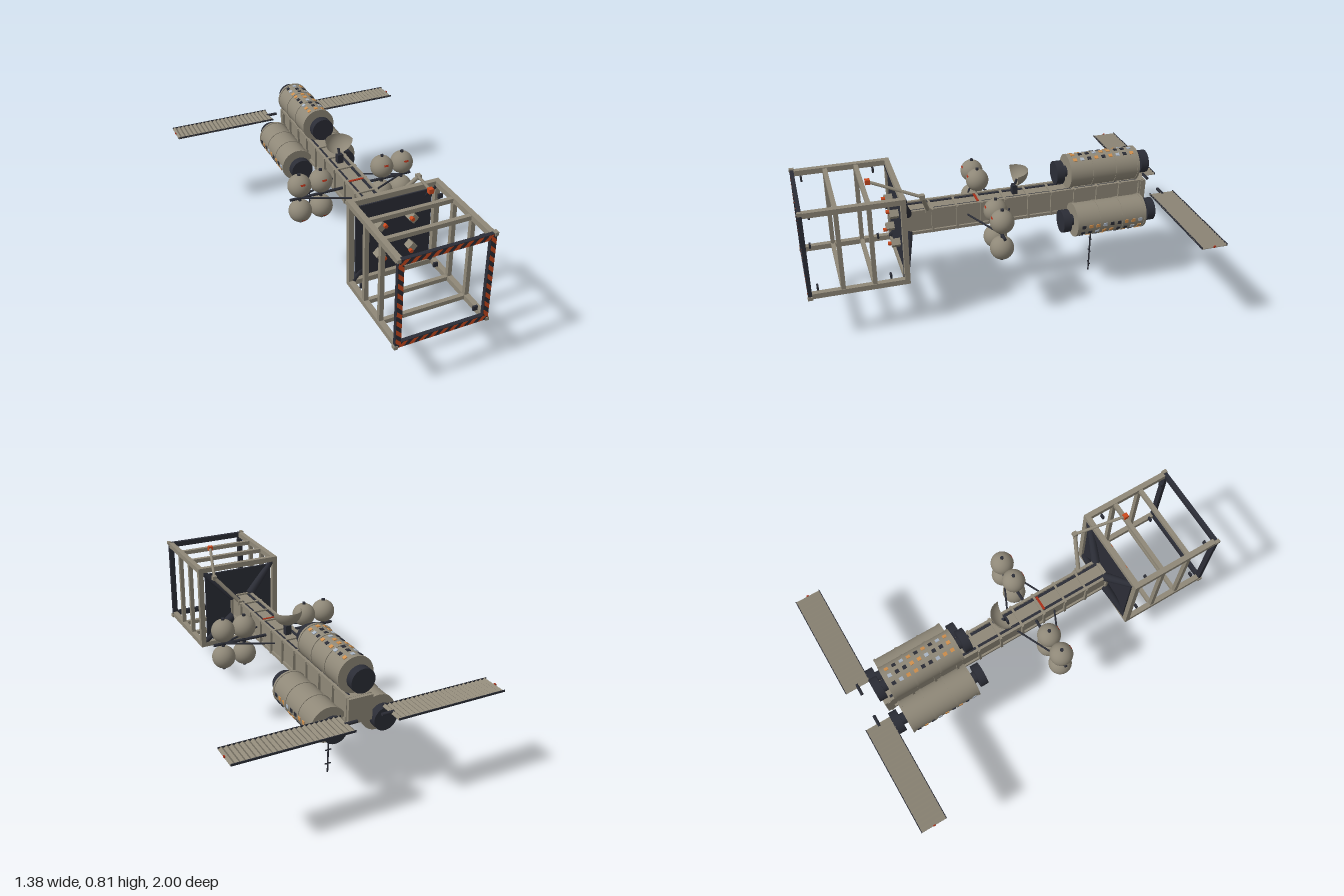
import * as THREE from 'three';

const mat = (name, color, side = THREE.FrontSide) => {
  const m = new THREE.MeshStandardMaterial({ color, side });
  m.name = name;
  return m;
};

export function createModel() {
  const hull = mat('hull grey', 0x8f8878, THREE.DoubleSide);
  const dark = mat('dark steel', 0x2b2d36);
  const orange = mat('warning orange', 0xcc4a1e);
  const red = mat('marker red', 0xa82f18);
  const paleGlass = mat('pale window', 0xa9b4c2);
  const warmGlass = mat('warm window', 0xd0904e);
  const model = new THREE.Group();
  model.name = 'spaceStation';
  const CY = 0.505; // height of the main axis

  const add = (parent, name, geo, material, x = 0, y = 0, z = 0) => {
    const mesh = new THREE.Mesh(geo, material);
    mesh.name = name;
    mesh.position.set(x, y, z);
    parent.add(mesh);
    return mesh;
  };
  const group = (name, parent = model) => {
    const g = new THREE.Group();
    g.name = name;
    parent.add(g);
    return g;
  };
  const box = (p, name, m, w, h, d, x, y, z) => add(p, name, new THREE.BoxGeometry(w, h, d), m, x, y, z);
  const rod = (p, name, m, a, b, r0, r1 = r0, sides = 10) => {
    const A = new THREE.Vector3(...a), B = new THREE.Vector3(...b), d = B.clone().sub(A);
    const mesh = add(p, name, new THREE.CylinderGeometry(r1, r0, d.length(), sides), m);
    mesh.position.copy(A).add(B).multiplyScalar(0.5);
    mesh.quaternion.setFromUnitVectors(new THREE.Vector3(0, 1, 0), d.normalize());
    return mesh;
  };
  // Square ring of four beams around the main axis
  const ring = (p, name, m, half, t, z, depth) => {
    for (const s of [-1, 1]) {
      box(p, name, m, 2 * half, t, depth, 0, CY + s * (half - t / 2), z);
      box(p, name, m, t, 2 * half - 2 * t, depth, s * (half - t / 2), CY, z);
    }
  };

  // Docking cage
  const cage = group('dockingCage');
  ring(cage, 'rearFrame', hull, 0.24, 0.028, 0.502, 0.026);
  ring(cage, 'middleFrame', hull, 0.236, 0.022, 0.665, 0.022);
  ring(cage, 'middleFrame', hull, 0.236, 0.022, 0.822, 0.022);
  ring(cage, 'frontFrame', dark, 0.239, 0.029, 0.987, 0.02);
  box(cage, 'backPlate', dark, 0.4, 0.4, 0.012, 0, CY, 0.5);
  for (const sx of [-1, 1]) for (const sy of [-1, 1]) {
    box(cage, 'longBeam', hull, 0.028, 0.028, 0.47, sx * 0.226, CY + sy * 0.226, 0.742);
    box(cage, 'cornerFitting', hull, 0.018, 0.018, 0.026, sx * 0.236, CY + sy * 0.236, 0.987);
    for (const z of [0.58, 0.945])
      box(cage, 'guidePeg', dark, 0.024, 0.024, 0.01, sx * 0.2, CY + sy * 0.2, z);
    // Braces and lamps on the back plate
    rod(cage, 'brace', dark, [sx * 0.05, CY + sy * 0.055, 0.455], [sx * 0.215, CY + sy * 0.215, 0.505], 0.024, 0.015);
    const lamp = group('lamp', cage);
    lamp.position.set(sx * 0.085, CY + sy * 0.083, 0.527);
    lamp.rotation.z = Math.PI / 4;
    box(lamp, 'lampBody', hull, 0.038, 0.036, 0.045, 0, 0, 0);
    const tip = add(cage, 'lampTip', new THREE.CylinderGeometry(0.01, 0.01, 0.02, 12), orange,
      sx * 0.071, CY + sy * 0.092, 0.555);
    tip.rotation.x = Math.PI / 2;
  }
  // Slanted warning stripes on the front frame
  for (let side = 0; side < 4; side++) {
    const strip = group('warningStripes', cage);
    strip.position.set(0, CY, 0.9985);
    strip.rotation.z = side * Math.PI / 2;
    for (let i = 0; i < 9; i++) {
      const x = -0.235 + i * 0.051;
      const s = new THREE.Shape([[x, 0.211], [x + 0.026, 0.211], [x + 0.053, 0.238], [x + 0.027, 0.238]]
        .map(([a, b]) => new THREE.Vector2(a, b)));
      add(strip, 'stripe', new THREE.ShapeGeometry(s), orange);
    }
  }

  // Spine with corner rails and frames
  const spine = group('spine');
  box(spine, 'spineCore', hull, 0.1, 0.116, 1.31, 0, CY, -0.185);
  for (const sx of [-1, 1]) for (const sy of [-1, 1]) {
    box(spine, 'rail', hull, 0.014, 0.016, 1.31, sx * 0.053, CY + sy * 0.06, -0.185);
    box(spine, 'cableStrip', dark, 0.014, 0.006, 1.3, sx * 0.037, CY + sy * 0.059, -0.185);
  }
  for (let z = 0.455; z > -0.85; z -= 0.1287) ring(spine, 'spineFrame', hull, 0.066, 0.012, z, 0.012);
  box(spine, 'endBlock', hull, 0.125, 0.13, 0.04, 0, CY, -0.835);
  box(spine, 'warningBand', red, 0.08, 0.004, 0.012, 0, CY + 0.066, 0.082);

  // Three habitat drums around the spine, each built with windows facing +y
  for (let k = 0; k < 3; k++) {
    const drum = group('habitat');
    drum.position.set(0, CY, -0.605);
    drum.rotation.z = k * Math.PI * 2 / 3;
    const body = group('habitatBody', drum);
    body.position.y = 0.15;
    const disc = (name, m, r, len, z) => {
      add(body, name, new THREE.CylinderGeometry(r, r, len, 32), m, 0, 0, z).rotation.x = Math.PI / 2;
    };
    disc('drum', hull, 0.088, 0.384, 0);
    for (const z of [-0.188, -0.064, 0.064, 0.188]) disc('band', hull, 0.091, 0.012, z);
    for (const s of [-1, 1]) {
      disc('neck', dark, 0.03, 0.04, s * 0.205);
      disc('endCap', dark, 0.061, 0.042, s * 0.239);
    }
    for (let col = -1; col <= 1; col++) for (let row = 0; row < 9; row++) {
      const a = col * 0.47;
      const m = [warmGlass, paleGlass, dark, warmGlass, dark][(row * 3 + (col + 1) * 2 + k + row * col + 9) % 5];
      const w = box(body, 'window', m, 0.018, 0.006, 0.02, Math.sin(a) * 0.088, Math.cos(a) * 0.088, -0.16 + row * 0.04);
      w.rotation.z = -a;
    }
  }

  // Pleated solar wings
  for (const s of [-1, 1]) {
    const wing = group('solarWing');
    const n = 48, x0 = 0.108, x1 = 0.688, top = [], under = [];
    for (let i = 0; i <= n; i++) {
      const x = s * (x0 + (x1 - x0) * i / n), y = i % 2 ? 0.0045 : -0.0045;
      top.push(new THREE.Vector2(x, y + 0.0015));
      under.unshift(new THREE.Vector2(x, y - 0.0015));
    }
    const geo = new THREE.ExtrudeGeometry(new THREE.Shape([...top, ...under]), { depth: 0.136, bevelEnabled: false });
    add(wing, 'pleatedPanel', geo, hull, 0, CY, -0.998);
    for (const z of [-0.998, -0.864])
      box(wing, 'edgeRail', dark, x1 - x0, 0.01, 0.004, s * (x0 + x1) / 2, CY, z);
    rod(wing, 'wingMount', dark, [s * 0.063, CY, -0.93], [s * 0.125, CY, -0.93], 0.008);
    box(wing, 'tipLight', red, 0.006, 0.008, 0.012, s * 0.688, CY, -0.93);
  }

  // Spherical tanks on outriggers
  for (const sx of [-1, 1]) {
    const rack = group('tankRack');
    rod(rack, 'outrigger', dark, [sx * 0.04, CY, 0.027], [sx * 0.345, CY, 0.027], 0.008);
    for (const z of [-0.085, 0.139])
      rod(rack, 'outriggerBrace', dark, [sx * 0.05, CY, z], [sx * 0.29, CY, 0.027], 0.005);
    for (const x of [0.175, 0.292]) for (const sy of [-1, 1]) {
      const tank = group('tank', rack);
      tank.position.set(sx * x, CY + sy * 0.075, 0.027);
      add(tank, 'tankShell', new THREE.SphereGeometry(0.061, 28, 20), hull);
      for (const s of [-1, 1])
        add(tank, 'tankValve', new THREE.CylinderGeometry(0.009, 0.009, 0.014, 10), dark, 0, s * 0.063, 0);
      const th = sy > 0 ? 1.0 : 2.04;
      add(tank, 'tankMark', new THREE.SphereGeometry(0.0618, 6, 3, Math.PI / 2 - 0.23, 0.46, th, 0.16), red);
    }
  }

  // Scoop-shaped dish on a pedestal
  const dish = group('dish');
  box(dish, 'pedestal', dark, 0.032, 0.05, 0.028, 0, 0.592, -0.127);
  rod(dish, 'dishStem', dark, [0, 0.61, -0.127], [0, 0.645, -0.14], 0.007);
  const bowl = add(dish, 'dishBowl', new THREE.SphereGeometry(0.076, 24, 10, Math.PI, Math.PI, Math.PI / 2, Math.PI / 2),
    hull, 0, 0.695, -0.122);
  bowl.rotation.x = 0.1;

  // Jointed arm
  const arm = group('arm');
  const base = [0.055, 0.57, 0.35], elbow = [0.183, 0.717, 0.4], hand = [0.105, 0.797, 0.648];
  rod(arm, 'upperArm', hull, base, elbow, 0.011);
  rod(arm, 'foreArm', hull, elbow, hand, 0.008);
  box(arm, 'shoulder', hull, 0.03, 0.024, 0.03, ...base);
  box(arm, 'elbow', hull, 0.024, 0.024, 0.024, ...elbow);
  box(arm, 'gripper', orange, 0.024, 0.024, 0.024, ...hand);

  // Hanging antenna mast
  const mast = group('antenna');
  rod(mast, 'mast', dark, [0, 0, -0.58], [0, 0.45, -0.58], 0.004, 0.005);
  for (const y of [0.05, 0.13, 0.21]) box(mast, 'crossbar', dark, 0.032, 0.005, 0.005, 0, y, -0.58);

  return model;
}
